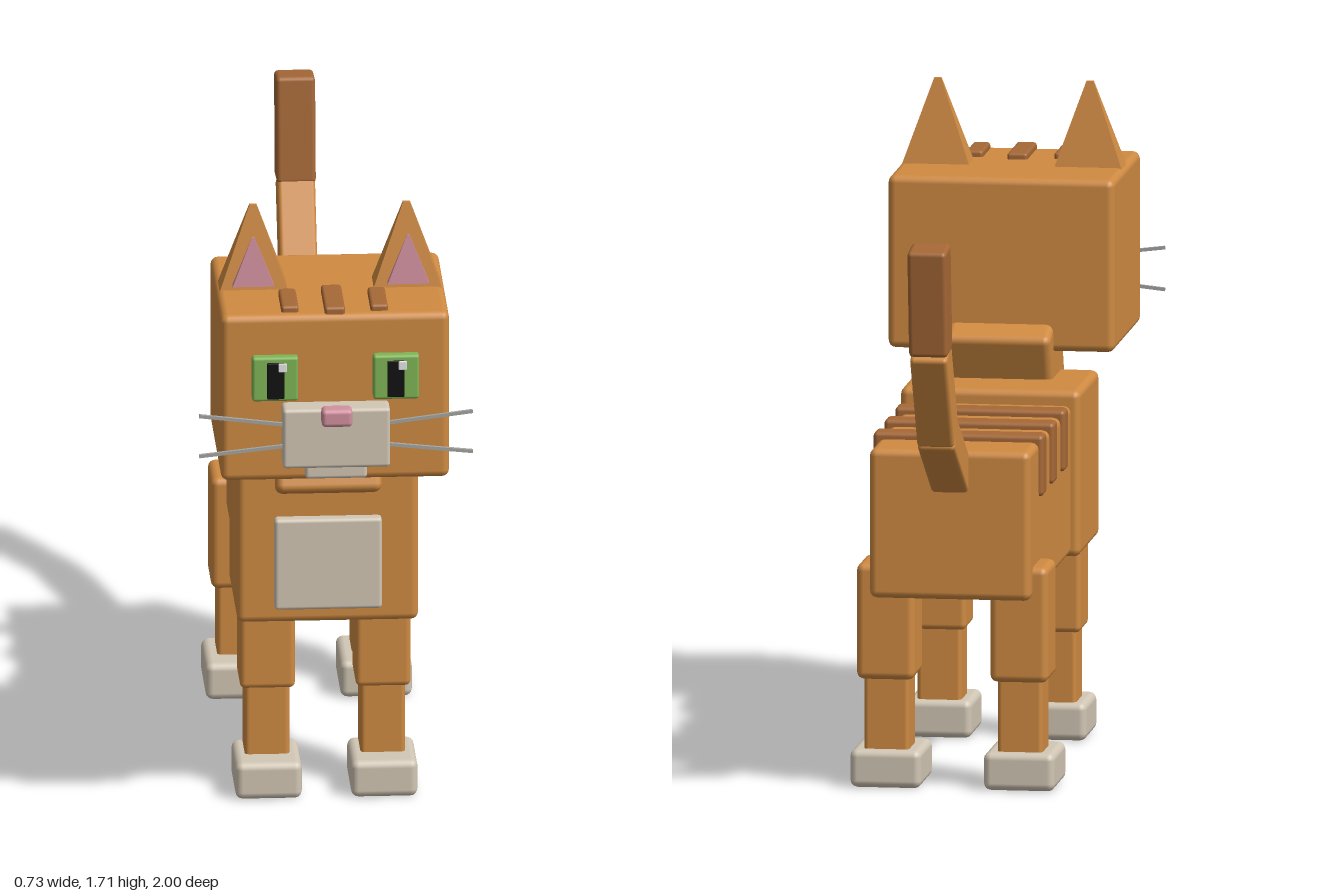
import * as THREE from 'three';
import { RoundedBoxGeometry } from 'three/addons/geometries/RoundedBoxGeometry.js';

const mat = (name, color) => {
  const m = new THREE.MeshStandardMaterial({ color });
  m.name = name;
  return m;
};

export function createModel() {
  const fur = mat('orange fur', 0xd08b42);
  const stripe = mat('brown stripe', 0xa66836);
  const cream = mat('cream', 0xd2c7b5);
  const pink = mat('pink', 0xd2919f);
  const green = mat('eye green', 0x7fb655);
  const black = mat('pupil black', 0x111111);
  const white = mat('highlight white', 0xf4f4f4);
  const grey = mat('whisker grey', 0xa5a5a2);

  const model = new THREE.Group();
  model.name = 'cat';

  const add = (name, geometry, material, parent = model) => {
    const mesh = new THREE.Mesh(geometry, material);
    mesh.name = name;
    parent.add(mesh);
    return mesh;
  };

  // Softly bevelled box given by its [min, max] range on each axis
  const block = (name, x, y, z, material, radius = 0.02, parent = model) => {
    const size = [x, y, z].map(([a, b]) => b - a);
    const r = Math.min(radius, Math.min(...size) * 0.4);
    const mesh = add(name, new RoundedBoxGeometry(...size, 2, r), material, parent);
    mesh.position.set((x[0] + x[1]) / 2, (y[0] + y[1]) / 2, (z[0] + z[1]) / 2);
    return mesh;
  };
  const around = (c, w) => [c - w / 2, c + w / 2];

  // Faceted four-sided pyramid with a slightly blunt tip
  const pyramid = (w, h, d, tip) => {
    const g = new THREE.CylinderGeometry(Math.SQRT1_2 * tip, Math.SQRT1_2, 1, 4)
      .rotateY(Math.PI / 4).scale(w, h, d).translate(0, h / 2, 0).toNonIndexed();
    g.computeVertexNormals();
    return g;
  };

  // Torso
  block('body', [-0.215, 0.215], [0.515, 0.915], [-0.56, 0.22], fur);
  block('chest', [-0.24, 0.24], [0.51, 0.955], [0.2, 0.565], fur);
  block('chestPatch', [-0.142, 0.142], [0.555, 0.808], [0.54, 0.595], cream, 0.01);
  for (const z of [0.043, -0.161, -0.364])
    block('backStripe', [-0.227, 0.227], [0.77, 0.934], around(z, 0.07), stripe, 0.012);

  // Neck, leaning back into the chest
  const neck = block('neck', [-0.14, 0.14], around(0.985, 0.27), around(0.485, 0.23), fur);
  neck.rotation.x = -0.37;

  // Head and face
  const head = new THREE.Group();
  head.name = 'head';
  model.add(head);
  block('skull', [-0.302, 0.302], [1.025, 1.487], [0.402, 0.905], fur, 0.02, head);
  block('muzzle', [-0.142, 0.142], [1.08, 1.245], [0.88, 0.97], cream, 0.01, head);
  block('chin', [-0.082, 0.082], [1.045, 1.1], [0.88, 0.955], cream, 0.01, head);
  block('nose', [-0.041, 0.041], [1.203, 1.252], [0.95, 1.0], pink, 0.012, head);
  for (const [x, w, z] of [[-0.118, 0.046, [0.73, 0.88]], [0, 0.054, [0.705, 0.895]], [0.118, 0.046, [0.73, 0.88]]])
    block('foreheadStripe', around(x, w), [1.475, 1.504], z, stripe, 0.008, head);

  for (const side of [-1, 1]) {
    // Eyes; both highlights sit toward +x
    block('eye', around(side * 0.16, 0.122), around(1.317, 0.123), [0.89, 0.93], green, 0.008, head);
    const px = side * 0.159;
    block('pupil', around(px, 0.045), around(1.314, 0.1), [0.928, 0.936], black, 0.002, head);
    block('eyeHighlight', around(px + 0.018, 0.022), around(1.352, 0.024), [0.933, 0.939], white, 0.002, head);

    // Ears
    const ear = add('ear', pyramid(0.185, 0.235, 0.092, 0.1), fur, head);
    ear.position.set(side * 0.203, 1.477, 0.649);
    const inner = add('innerEar', pyramid(0.11, 0.135, 0.022, 0.06), pink, head);
    inner.position.set(side * 0.205, 1.502, 0.701);

    // Whiskers
    for (const [y0, y1] of [[1.192, 1.222], [1.136, 1.11]]) {
      const a = new THREE.Vector3(side * 0.12, y0, 0.937);
      const b = new THREE.Vector3(side * 0.362, y1, 0.937);
      const whisker = add('whisker', new THREE.BoxGeometry(a.distanceTo(b), 0.009, 0.009), grey, head);
      whisker.position.copy(a).add(b).multiplyScalar(0.5);
      whisker.rotation.z = Math.atan2(side * (b.y - a.y), Math.abs(b.x - a.x));
    }

    // Front leg
    const fx = side * 0.153;
    block('frontUpperLeg', around(fx, 0.146), [0.29, 0.56], around(0.382, 0.155), fur, 0.015);
    block('frontLowerLeg', around(fx, 0.118), [0.08, 0.31], around(0.381, 0.12), fur, 0.012);
    block('frontPaw', around(fx, 0.176), [0, 0.102], around(0.412, 0.215), cream);

    // Rear leg
    const rx = side * 0.178;
    block('rearThigh', around(rx, 0.155), [0.29, 0.6], around(-0.432, 0.174), fur);
    block('rearLowerLeg', around(rx, 0.12), [0.08, 0.31], around(-0.43, 0.128), fur, 0.012);
    block('rearPaw', around(rx, 0.19), [0, 0.102], around(-0.403, 0.232), cream);
  }

  // Tail: three bent segments, given as [z, y] joints
  const joints = [[-0.52, 0.838], [-0.783, 0.998], [-0.912, 1.235], [-0.946, 1.522]];
  for (let i = 0; i < 3; i++) {
    const [z0, y0] = joints[i], [z1, y1] = joints[i + 1];
    const length = Math.hypot(z1 - z0, y1 - y0) + (i < 2 ? 0.024 : 0);
    const seg = add(i < 2 ? 'tail' : 'tailTip',
      new RoundedBoxGeometry(i < 2 ? 0.1 : 0.104, length, i < 2 ? 0.1 : 0.104, 2, 0.012), i < 2 ? fur : stripe);
    seg.position.set(0, (y0 + y1) / 2, (z0 + z1) / 2);
    seg.rotation.x = Math.atan2(z1 - z0, y1 - y0);
  }

  return model;
}
